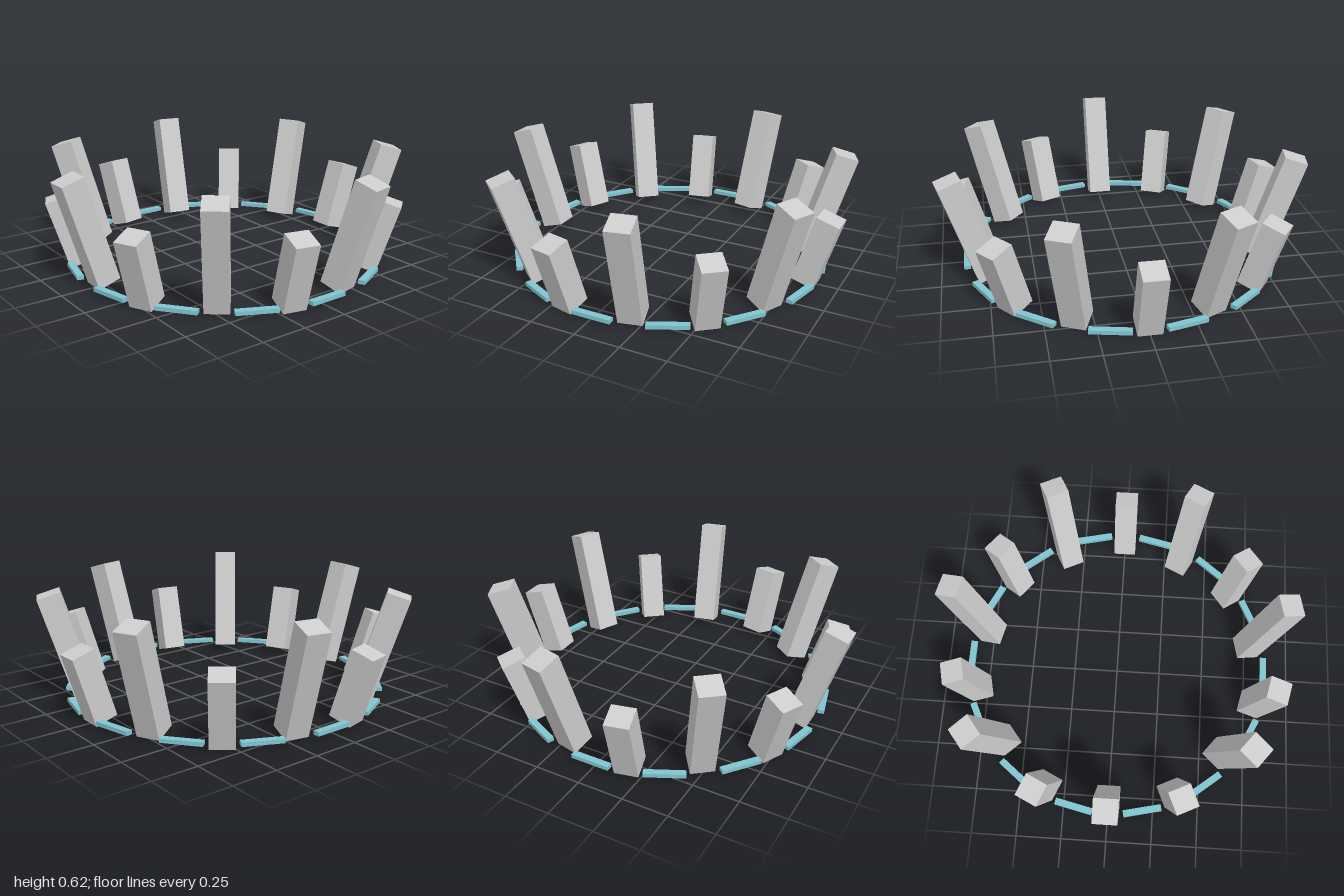
import * as THREE from 'three';

export function createModel() {
  const stone = new THREE.MeshStandardMaterial({ color: 0xcccccc });
  stone.name = 'light grey';
  const teal = new THREE.MeshStandardMaterial({ color: 0x80c4d0 });
  teal.name = 'pale teal';

  const COUNT = 14, RADIUS = 0.8595, WIDTH = 0.128, TILT = 0.3;
  const step = (Math.PI * 2) / COUNT;

  const model = new THREE.Group();
  model.name = 'crownRing';
  model.position.x = 0.0155;

  // Box at the ring radius, local +x pointing outward, leaning out by tilt
  function place(name, geometry, material, angle, y, tilt) {
    const spoke = new THREE.Group();
    spoke.name = name;
    spoke.rotation.y = angle;
    const mesh = new THREE.Mesh(geometry, material);
    mesh.name = name;
    mesh.position.set(RADIUS, y, 0);
    mesh.rotation.z = -tilt;
    spoke.add(mesh);
    model.add(spoke);
  }

  const shortPost = new THREE.BoxGeometry(WIDTH, 0.39, WIDTH);
  const tallPost = new THREE.BoxGeometry(WIDTH, 0.6, WIDTH);
  const rail = new THREE.BoxGeometry(0.037, 0.022, 0.215);

  // Alternating short and tall posts, with a low rail in each gap
  for (let i = 0; i < COUNT; i++) {
    const tall = i % 2 === 1;
    place(tall ? 'tallPost' : 'shortPost', tall ? tallPost : shortPost, stone,
      i * step, tall ? 0.312 : 0.205, TILT);
    place('rail', rail, teal, (i + 0.5) * step, 0.032, 0);
  }

  const root = new THREE.Group();
  root.name = 'model';
  root.add(model);
  return root;
}
